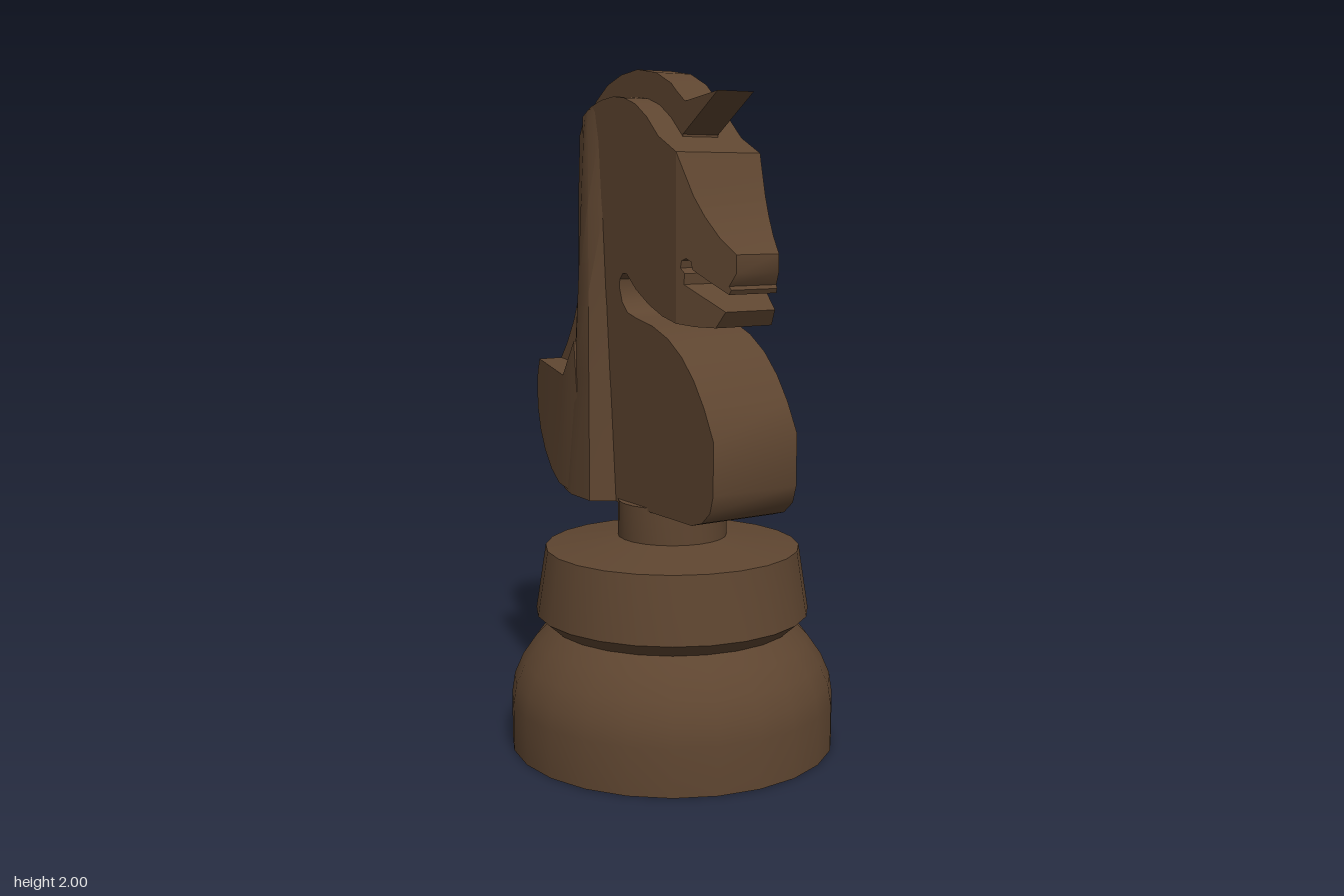
import * as THREE from 'three';
import { toCreasedNormals } from 'three/addons/utils/BufferGeometryUtils.js';

const wood = new THREE.MeshStandardMaterial({ color: 0x5e4530 });
wood.name = 'dark brown';

function part(name, geometry, crease = 0.6) {
  const mesh = new THREE.Mesh(toCreasedNormals(geometry, crease), wood);
  mesh.name = name;
  return mesh;
}

// Slab cut from a side outline of [z, y] points; half(z) gives its half width.
function slab(name, outline, half) {
  const shape = new THREE.Shape(outline.map(([z, y]) => new THREE.Vector2(z, y)));
  const geo = new THREE.ExtrudeGeometry(shape, { depth: 2, bevelEnabled: false });
  geo.translate(0, 0, -1).rotateY(-Math.PI / 2);
  const pos = geo.attributes.position;
  for (let i = 0; i < pos.count; i++) pos.setX(i, pos.getX(i) * half(pos.getZ(i)));
  geo.computeVertexNormals();
  return part(name, geo);
}

// Loft through closed rings of Vector3, bottom to top, capped at both ends.
function loft(name, rings) {
  const verts = [];
  const tri = (...p) => p.forEach((v) => verts.push(v.x, v.y, v.z));
  const n = rings[0].length;
  const centre = (r) => r.reduce((s, v) => s.add(v), new THREE.Vector3()).divideScalar(n);
  const low = rings[0], high = rings[rings.length - 1];
  const c0 = centre(low), c1 = centre(high);
  for (let i = 0; i < n; i++) {
    const j = (i + 1) % n;
    for (let k = 0; k < rings.length - 1; k++) {
      const a = rings[k], b = rings[k + 1];
      tri(a[i], a[j], b[j]);
      tri(a[i], b[j], b[i]);
    }
    tri(c0, low[j], low[i]);
    tri(c1, high[i], high[j]);
  }
  const geo = new THREE.BufferGeometry();
  geo.setAttribute('position', new THREE.Float32BufferAttribute(verts, 3));
  geo.computeVertexNormals();
  return part(name, geo);
}

export function createModel() {
  const model = new THREE.Group();
  model.name = 'chessKnight';

  // Turned pedestal
  const profile = [
    [0, 0], [0.487, 0], [0.487, 0.14], [0.478, 0.2], [0.452, 0.26], [0.41, 0.32], [0.365, 0.365],
    [0.41, 0.405], [0.38, 0.6], [0.163, 0.632], [0.163, 0.74], [0, 0.74],
  ].map(([r, y]) => new THREE.Vector2(r, y));
  const pedestal = part('pedestal', new THREE.LatheGeometry(profile, 24), 0.5);
  pedestal.position.z = 0.06;
  model.add(pedestal);

  // Horse, turned slightly on the pedestal
  const horse = new THREE.Group();
  horse.name = 'horse';
  horse.rotation.y = 0.05;
  model.add(horse);

  // Chest, neck and back of the head
  horse.add(slab('neck', [
    [-0.22, 0.73], [0.37, 0.73], [0.42, 0.745], [0.46, 0.78], [0.475, 0.83], [0.475, 0.98],
    [0.43, 1.065], [0.38, 1.135], [0.32, 1.195], [0.25, 1.24], [0.17, 1.27], [0.08, 1.288],
    [0.035, 1.3], [0.005, 1.33], [-0.01, 1.37], [-0.008, 1.395], [0.01, 1.413], [0.03, 1.412],
    [0.08, 1.37], [0.15, 1.33], [0.22, 1.302], [0.29, 1.286], [0.29, 1.755], [0.2, 1.8],
    [0.14, 1.855], [0.08, 1.893], [0.02, 1.913], [-0.04, 1.92], [-0.11, 1.913], [-0.17, 1.897],
    [-0.22, 1.87],
  ], () => 0.142));

  // Muzzle narrowing to the lips, with an open mouth
  horse.add(slab('muzzle', [
    [0.29, 1.286], [0.35, 1.28], [0.415, 1.28], [0.445, 1.325], [0.395, 1.352], [0.315, 1.395],
    [0.33, 1.415], [0.335, 1.425], [0.318, 1.425], [0.304, 1.44], [0.308, 1.46], [0.322, 1.466],
    [0.337, 1.458], [0.342, 1.436], [0.4, 1.402], [0.455, 1.372], [0.462, 1.385], [0.455, 1.395],
    [0.477, 1.43], [0.477, 1.48], [0.425, 1.525], [0.38, 1.58], [0.345, 1.635], [0.315, 1.7],
    [0.29, 1.755],
  ].filter((_, i) => i !== 6 && i !== 7), (z) => 0.142 - (z - 0.29) * 0.38));

  // Raised crest running from the forehead down the back
  const narrow = () => 0.06;
  horse.add(slab('mane', [
    [0.2, 1.8], [0.2, 1.9], [0.14, 1.95], [0.06, 1.985], [-0.04, 2], [-0.13, 1.99], [-0.21, 1.965],
    [-0.28, 1.92], [-0.325, 1.86], [-0.348, 1.78], [-0.348, 1.7], [-0.335, 1.62], [-0.35, 1.49],
    [-0.38, 1.36], [-0.43, 1.24], [-0.475, 1.165], [-0.518, 1.11], [-0.45, 0.95], [-0.15, 0.95],
    [-0.15, 1.8], [0, 1.85],
  ], narrow));
  horse.add(slab('ear', [[0.19, 1.8], [0.37, 1.918], [0.21, 1.897], [0.15, 1.94], [0.15, 1.82]], narrow));

  // Broad curl at the foot of the mane
  horse.add(slab('maneCurl', [
    [-0.15, 0.73], [-0.22, 0.732], [-0.31, 0.746], [-0.39, 0.776], [-0.46, 0.825], [-0.51, 0.885],
    [-0.538, 0.95], [-0.545, 1.02], [-0.537, 1.07], [-0.515, 1.115], [-0.27, 1.09], [-0.2, 1.2],
  ], (z) => Math.min(0.135 + (z + 0.535) * 0.22, 0.19)));

  // Side locks flaring towards the bottom: [y, front z, half width, back z, back slope]
  const locks = [
    [0.73, -0.03, 0.207, -0.31, 0],
    [1.1, -0.06, 0.19, -0.27, 0],
    [1.35, -0.08, 0.178, -0.26, 0],
    [1.62, -0.1, 0.165, -0.28, 0],
    [1.85, -0.12, 0.153, -0.29, 0.25],
    [1.9, -0.13, 0.147, -0.28, 0.4],
  ].map(([y, front, w, back, slope]) => {
    const side = [
      [0.135, front], [w, front - 0.05], [w - 0.004, -0.2], [w - 0.035, back + 0.01], [0.09, back], [0.055, -0.2],
    ];
    const at = (s) => ([x, z]) => new THREE.Vector3(s * x, y + slope * Math.min(0, z + 0.15), z);
    return [...side.map(at(1)), ...side.map(at(-1)).reverse()];
  });
  horse.add(loft('sideLocks', locks));

  return model;
}
